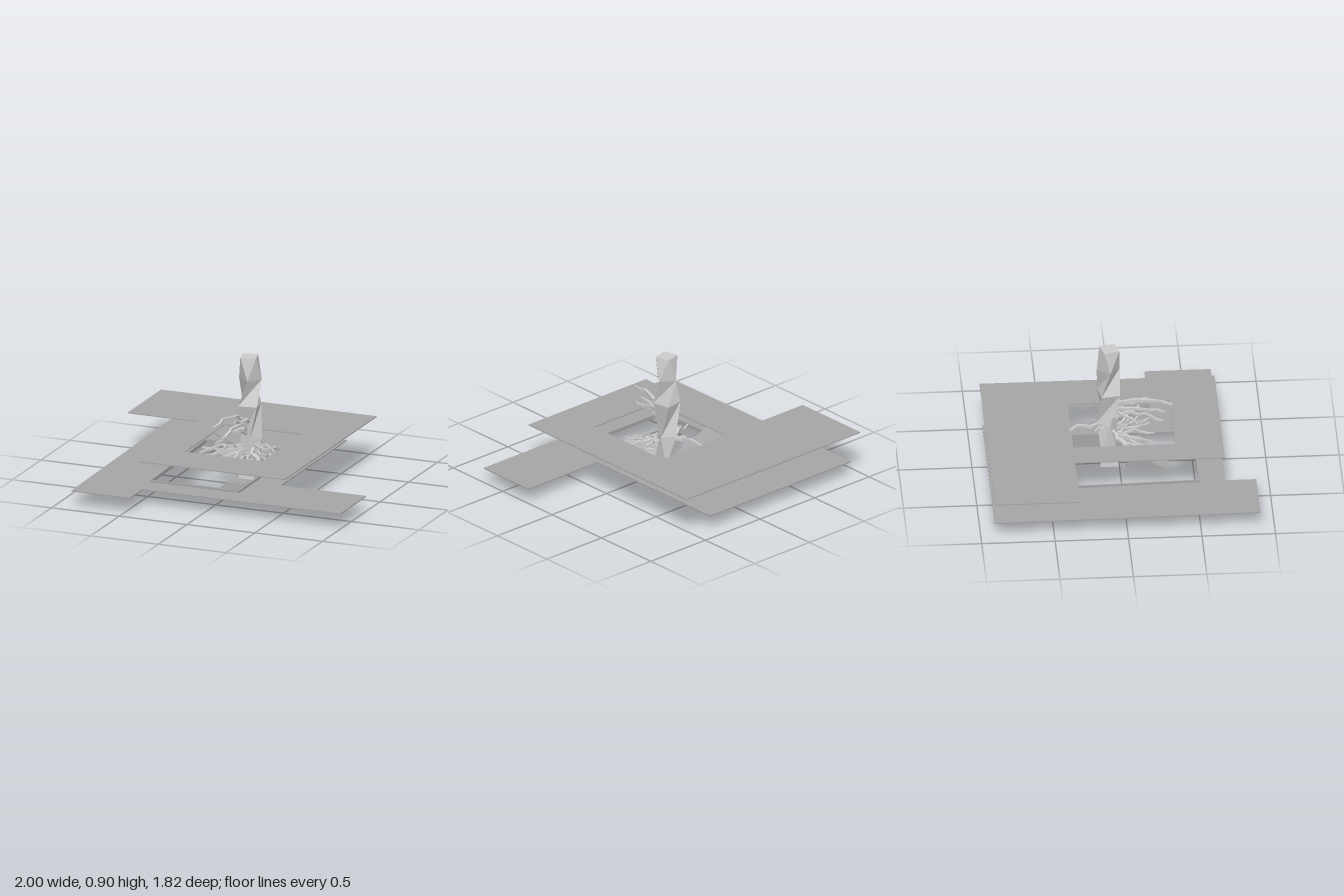
import * as THREE from 'three';

const makeMaterial = (color) => new THREE.MeshStandardMaterial({ color, flatShading: true, side: THREE.DoubleSide });
const bark = makeMaterial(0xcccccc);
const paving = makeMaterial(0xa5a5a5);

function add(group, geometry, name, material) {
  const mesh = new THREE.Mesh(geometry, material);
  mesh.name = name;
  group.add(mesh);
}

// Horizontal slab from an [x, z] outline, its top at the given height
function slab(outline, hole, top, depth) {
  const points = (list) => list.map(([x, z]) => new THREE.Vector2(x, z));
  const shape = new THREE.Shape(points(outline));
  shape.holes.push(new THREE.Path(points(hole)));
  const geometry = new THREE.ExtrudeGeometry(shape, { depth, bevelEnabled: false });
  return geometry.rotateX(Math.PI / 2).translate(0, top, 0);
}

// Sloped flight between two [x, y] points, spanning z0 to z1
function flight([xa, ya], [xb, yb], z0, z1, thick) {
  const shape = new THREE.Shape([[xa, ya], [xb, yb], [xb, yb - thick], [xa, ya - thick]]
    .map(([x, y]) => new THREE.Vector2(x, y)));
  return new THREE.ExtrudeGeometry(shape, { depth: z1 - z0, bevelEnabled: false }).translate(0, 0, z0);
}

// Faceted four-sided limb through cross-sections: centres, radii and twist angles
function limb(centres, radii, twists, upright) {
  const pos = [], index = [], sides = 4, last = centres.length - 1;
  centres.forEach((c, i) => {
    const t = upright ? new THREE.Vector3(0, 1, 0)
      : centres[Math.min(i + 1, last)].clone().sub(centres[Math.max(i - 1, 0)]).normalize();
    const ref = Math.abs(t.y) > 0.9 ? new THREE.Vector3(0, 0, 1) : new THREE.Vector3(0, 1, 0);
    const u = ref.cross(t).normalize();
    const v = t.clone().cross(u);
    for (let j = 0; j < sides; j++) {
      const a = twists[i] + (j / sides) * Math.PI * 2;
      const p = c.clone().addScaledVector(u, radii[i] * Math.cos(a)).addScaledVector(v, radii[i] * Math.sin(a));
      pos.push(p.x, p.y, p.z);
    }
  });
  for (let i = 0; i < last; i++) {
    for (let j = 0; j < sides; j++) {
      const a = i * sides + j, b = i * sides + (j + 1) % sides;
      index.push(a, b, b + sides, a, b + sides, a + sides);
    }
  }
  for (let j = 1; j < sides - 1; j++) {
    index.push(0, j + 1, j, last * sides, last * sides + j, last * sides + j + 1);
  }
  const geometry = new THREE.BufferGeometry();
  geometry.setAttribute('position', new THREE.Float32BufferAttribute(pos, 3));
  geometry.setIndex(index);
  const flat = geometry.toNonIndexed();
  flat.computeVertexNormals();
  return flat;
}

let seed = 11;
function random() {
  seed = (seed * 16807) % 2147483647;
  return seed / 2147483647;
}

// Crooked branch from the trunk to a tip, tapering and arching by lift
function branch(startY, tip, lift, radius) {
  const end = new THREE.Vector3(...tip);
  const start = new THREE.Vector3(0.01 + end.x * 0.1, startY, -0.06 + end.z * 0.1);
  const centres = [], radii = [], twists = [], n = 6;
  for (let i = 0; i <= n; i++) {
    const t = i / n, wobble = i > 0 && i < n ? 0.03 : 0;
    const p = start.clone().lerp(end, t);
    p.x += (random() - 0.5) * wobble;
    p.y += (random() - 0.5) * wobble + lift * Math.sin(Math.PI * t);
    p.z += (random() - 0.5) * wobble;
    centres.push(p);
    radii.push(radius * (1 - 0.5 * t));
    twists.push(Math.PI / 4);
  }
  return limb(centres, radii, twists, false);
}

export function createModel() {
  const model = new THREE.Group();
  model.name = 'treeWithWalkways';

  // Upper L-shaped deck with its opening around the tree
  add(model, slab(
    [[-1, -0.91], [0.59, -0.91], [0.59, 0.69], [-0.485, 0.69], [-0.485, -0.33], [-1, -0.33]],
    [[-0.285, -0.33], [0.285, -0.33], [0.285, 0.365], [-0.285, 0.365]], 0.305, 0.007), 'upperDeck', paving);

  // Lower deck with two projecting arms
  const well = [[-0.505, -0.51], [0.18, -0.51], [0.18, 0.52], [-0.475, 0.52]];
  add(model, slab(
    [[-0.92, -0.905], [0.37, -0.905], [0.37, 0.24], [1, 0.24], [1, 0.69], [-0.46, 0.69], [-0.46, 0.905], [-0.893, 0.905]],
    well, 0.11, 0.008), 'lowerDeck', paving);

  // Raised curb around the lower opening
  add(model, slab(well,
    [[-0.495, -0.5], [0.172, -0.5], [0.172, 0.51], [-0.465, 0.51]], 0.126, 0.025), 'openingCurb', paving);

  // Flights joining the decks and the landing
  add(model, flight([-0.285, 0.3], [0.18, 0.115], -0.325, -0.14, 0.01), 'upperFlight', paving);
  add(model, flight([0.075, 0.06], [0.18, 0.108], 0.05, 0.16, 0.008), 'lowerFlight', paving);

  // Landing and flared ground steps
  const stairs = new THREE.Group();
  stairs.name = 'groundStairs';
  model.add(stairs);
  add(stairs, new THREE.BoxGeometry(0.14, 0.06, 0.11).translate(0.01, 0.03, 0.105), 'landing', paving);
  const count = 20, tread = 0.17 / count;
  for (let i = 0; i < count; i++) {
    const width = 0.145 + 0.095 * (i + 0.5) / count, height = 0.06 * (1 - (i + 0.5) / count);
    add(stairs, new THREE.BoxGeometry(width, height, tread)
      .translate(0.01, height / 2, 0.16 + (i + 0.5) * tread), 'step', paving);
  }

  // Twisting four-sided trunk: x, y, z, radius, twist
  const trunk = [
    [0.01, 0, -0.067, 0.088, 0.8], [0.012, 0.11, -0.07, 0.074, 0.8], [0.018, 0.325, -0.08, 0.074, 0.25],
    [0.01, 0.555, -0.07, 0.092, 0.95], [0.014, 0.74, -0.072, 0.08, 1.7], [0.008, 0.9, -0.065, 0.076, 1.04],
  ];
  add(model, limb(trunk.map(([x, y, z]) => new THREE.Vector3(x, y, z)),
    trunk.map((r) => r[3]), trunk.map((r) => r[4]), true), 'trunk', bark);

  // Branches: height on the trunk, tip, arch, thickness
  const branches = [
    // high front boughs
    [0.45, [-0.08, 0.495, 0.36], 0.05, 0.019], [0.41, [-0.04, 0.41, 0.31], 0.03, 0.016],
    [0.36, [-0.09, 0.37, 0.3], 0.04, 0.016], [0.44, [0.01, 0.5, 0.2], 0.01, 0.014],
    [0.38, [-0.1, 0.36, 0.12], 0.03, 0.013],
    // left fan
    [0.23, [0.32, 0.255, 0.16], 0.015, 0.016], [0.21, [0.27, 0.18, 0.23], 0.02, 0.016],
    [0.27, [0.27, 0.28, 0.05], 0.005, 0.014], [0.2, [0.26, 0.215, 0.16], 0.01, 0.014],
    [0.25, [0.2, 0.2, 0.2], 0.015, 0.016], [0.22, [0.13, 0.23, 0.22], 0, 0.015],
    [0.27, [0.22, 0.29, -0.03], 0, 0.013],
    // right fan
    [0.24, [-0.29, 0.22, 0.1], 0.015, 0.016], [0.21, [-0.28, 0.2, 0.2], 0.02, 0.016],
    [0.2, [-0.23, 0.165, 0.21], 0.02, 0.015], [0.27, [-0.29, 0.25, 0.05], 0, 0.014],
    [0.24, [-0.2, 0.2, 0.24], 0.01, 0.014], [0.28, [-0.16, 0.27, 0.1], 0, 0.014],
    // low front shoots
    [0.22, [0.04, 0.2, 0.24], 0.02, 0.014], [0.21, [-0.06, 0.18, 0.23], 0.02, 0.014],
    // rear boughs
    [0.27, [-0.06, 0.265, -0.4], 0.055, 0.018], [0.28, [-0.08, 0.3, -0.17], 0, 0.013],
  ];
  const crown = new THREE.Group();
  crown.name = 'branches';
  model.add(crown);
  for (const [y, tip, lift, radius] of branches) add(crown, branch(y, tip, lift, radius), 'branch', bark);

  return model;
}
